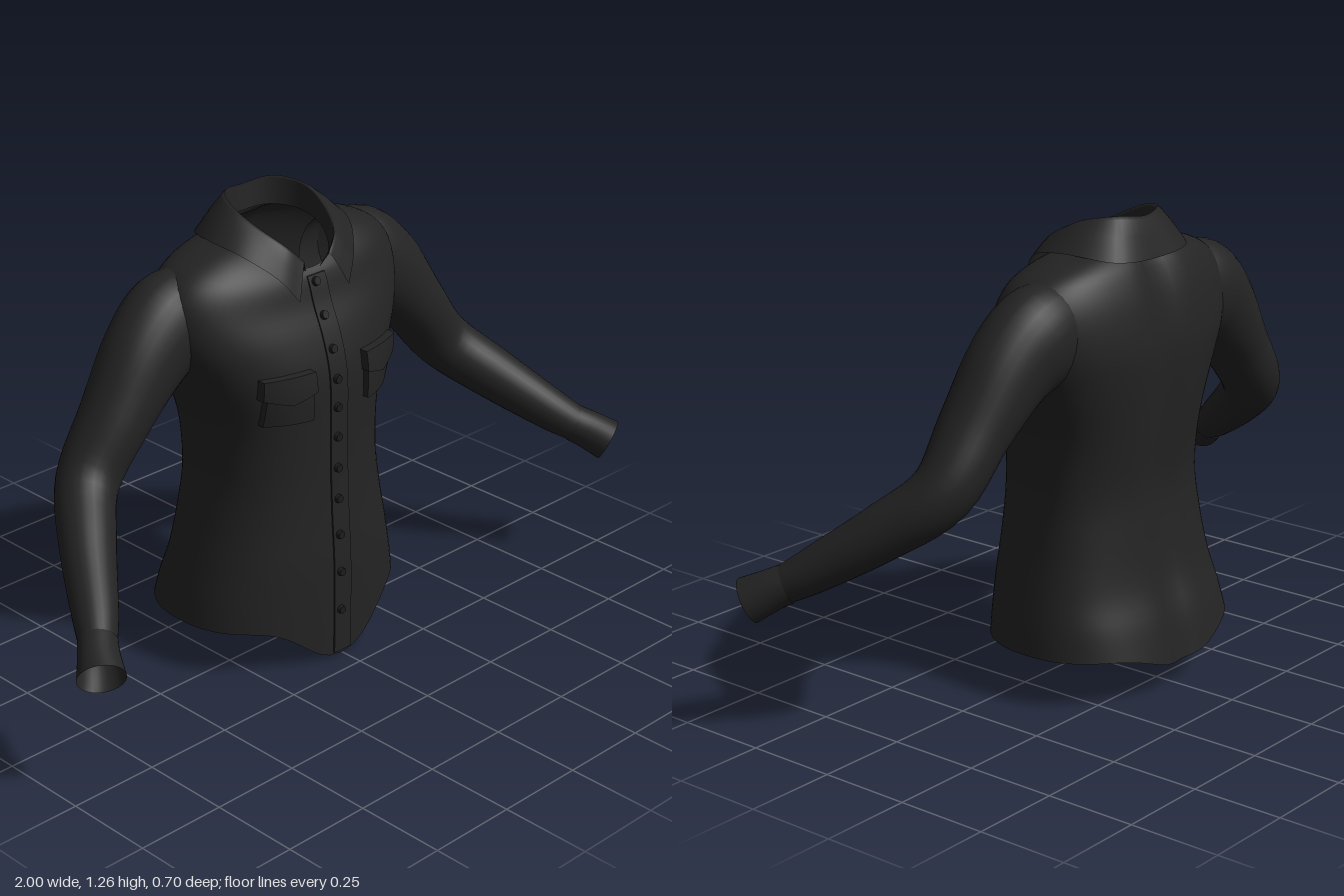
import * as THREE from 'three';

const fabric = new THREE.MeshStandardMaterial({ color: 0x232323, side: THREE.DoubleSide });
const buttonBlack = new THREE.MeshStandardMaterial({ color: 0x1b1b1b });

// Surface through rows of points; closed rows wrap around
function loft(rows, closed) {
  const n = rows[0].length, pos = [], idx = [];
  rows.forEach(r => r.forEach(p => pos.push(p.x, p.y, p.z)));
  for (let i = 0; i < rows.length - 1; i++) {
    for (let j = 0; j < (closed ? n : n - 1); j++) {
      const k = (j + 1) % n, a = i * n + j, b = i * n + k, c = a + n, d = b + n;
      idx.push(a, b, d, a, d, c);
    }
  }
  const g = new THREE.BufferGeometry();
  g.setAttribute('position', new THREE.Float32BufferAttribute(pos, 3));
  g.setIndex(idx);
  g.computeVertexNormals();
  return g;
}

function add(group, name, geometry, material = fabric) {
  const mesh = new THREE.Mesh(geometry, material);
  mesh.name = name;
  group.add(mesh);
  return mesh;
}

// Smooth interpolation of a table of number rows, t in 0..rows-1
function sample(table, t) {
  const i = Math.min(Math.floor(t), table.length - 2), f = t - i;
  const at = k => table[Math.max(0, Math.min(table.length - 1, k))];
  return table[i].map((b, k) => {
    const c = at(i + 1)[k], m0 = (c - at(i - 1)[k]) / 2, m1 = (at(i + 2)[k] - b) / 2;
    const f2 = f * f, f3 = f2 * f;
    return (2 * f3 - 3 * f2 + 1) * b + (f3 - 2 * f2 + f) * m0 + (3 * f2 - 2 * f3) * c + (f3 - f2) * m1;
  });
}

function smoothRings(table, steps) {
  const out = [];
  for (let i = 0; i <= (table.length - 1) * steps; i++) out.push(sample(table, i / steps));
  return out;
}

// Body rings: front y, side y, back y, half width, front z, back z, sharpness of the y dip
const BODY = smoothRings([
  [0.005, 0.135, 0.08, 0.35, 0.18, -0.352, 12],
  [0.17, 0.21, 0.19, 0.338, 0.18, -0.328, 6],
  [0.30, 0.30, 0.30, 0.318, 0.178, -0.292, 2],
  [0.42, 0.42, 0.42, 0.292, 0.17, -0.272, 2],
  [0.55, 0.55, 0.55, 0.275, 0.164, -0.26, 2],
  [0.70, 0.70, 0.70, 0.284, 0.162, -0.275, 2],
  [0.83, 0.84, 0.84, 0.338, 0.158, -0.288, 2],
  [0.93, 0.95, 0.94, 0.385, 0.132, -0.29, 2],
  [1.01, 1.05, 1.05, 0.39, 0.098, -0.272, 2],
  [1.06, 1.12, 1.13, 0.345, 0.082, -0.243, 2],
  [1.085, 1.163, 1.17, 0.25, 0.072, -0.215, 2],
  [1.10, 1.185, 1.19, 0.145, 0.06, -0.19, 2],
], 4);
const ZC = -0.09, POW = 0.85;
const spow = (v, p) => Math.sign(v) * Math.pow(Math.abs(v), p);

function bodyRing([yF, yS, yB, w, zF, zB, sharp]) {
  const pts = [], n = 72;
  for (let j = 0; j < n; j++) {
    const a = (j / n) * Math.PI * 2, c = Math.cos(a), s = Math.sin(a);
    const x = w * spow(s, POW), k = Math.pow(Math.abs(c), sharp);
    let z = ZC + (c > 0 ? zF - ZC : ZC - zB) * spow(c, POW);
    // shallow groove along the spine
    if (c < 0) z += 0.018 * Math.exp(-((x / 0.05) ** 2));
    pts.push(new THREE.Vector3(x, yS + ((c > 0 ? yF : yB) - yS) * k, z));
  }
  return pts;
}

// Depth of the body's front at (x, y)
function frontZ(x, y) {
  let i = 0;
  while (i < BODY.length - 2 && BODY[i + 1][0] < y) i++;
  const a = BODY[i], b = BODY[i + 1];
  const f = THREE.MathUtils.clamp((y - a[0]) / (b[0] - a[0]), 0, 1);
  const w = a[3] + (b[3] - a[3]) * f, zF = a[4] + (b[4] - a[4]) * f;
  const s = Math.min(1, Math.pow(Math.abs(x) / w, 1 / POW));
  return ZC + (zF - ZC) * Math.pow(Math.sqrt(1 - s * s), POW);
}

// Panel bent over the front; point lowers the middle of the bottom edge
function panel(x, y, w, h, d, point = 0) {
  const g = new THREE.BoxGeometry(w, h, d, 8, Math.ceil(h / 0.02), 1), p = g.attributes.position;
  for (let i = 0; i < p.count; i++) {
    const u = p.getX(i) / (w / 2), v = 0.5 - p.getY(i) / h;
    const px = x + p.getX(i), py = y + p.getY(i) - point * v * (1 - Math.abs(u));
    p.setXYZ(i, px, py, frontZ(px, py) + p.getZ(i));
  }
  g.computeVertexNormals();
  return g;
}

// Sleeve stations: centre x, y, z, depth radius, height radius
const SLEEVE = smoothRings([
  [0.22, 1.03, -0.12, 0.09, 0.10],
  [0.33, 0.995, -0.118, 0.112, 0.138],
  [0.43, 0.93, -0.107, 0.107, 0.124],
  [0.545, 0.80, -0.095, 0.096, 0.094],
  [0.655, 0.66, -0.08, 0.082, 0.083],
  [0.75, 0.56, 0.028, 0.072, 0.075],
  [0.85, 0.457, 0.17, 0.058, 0.06],
  [0.898, 0.413, 0.236, 0.046, 0.05],
], 5);
const CUFF = smoothRings([
  [0.892, 0.418, 0.228, 0.05, 0.053],
  [0.915, 0.402, 0.258, 0.052, 0.055],
  [0.95, 0.372, 0.308, 0.062, 0.06],
], 3);

function tube(stations, side) {
  const centre = s => new THREE.Vector3(s[0], s[1], s[2]), n = 28;
  return loft(stations.map((s, i) => {
    const t = centre(stations[Math.min(i + 1, stations.length - 1)])
      .sub(centre(stations[Math.max(i - 1, 0)])).normalize();
    const a = new THREE.Vector3(0, 0, 1).addScaledVector(t, -t.z).normalize();
    const b = new THREE.Vector3().crossVectors(t, a);
    return Array.from({ length: n }, (_, j) => {
      const q = (j / n) * Math.PI * 2;
      const p = centre(s).addScaledVector(a, Math.cos(q) * s[3]).addScaledVector(b, Math.sin(q) * s[4]);
      p.x *= side;
      return p;
    });
  }), true);
}

// Whole collar line from its left half, front to back centre
function collarLine(half) {
  const left = half.map(p => new THREE.Vector3(...p));
  const right = left.slice(0, -1).reverse().map(p => new THREE.Vector3(-p.x, p.y, p.z));
  return new THREE.CatmullRomCurve3([...left, ...right]).getPoints(60);
}

export function createModel() {
  const shirt = new THREE.Group();
  shirt.name = 'shirt';

  add(shirt, 'body', loft(BODY.map(bodyRing), true));

  // Sleeves, cuffs and chest pockets
  for (const side of [1, -1]) {
    const word = side > 0 ? 'left' : 'right';
    add(shirt, word + 'Sleeve', tube(SLEEVE, side));
    add(shirt, word + 'Cuff', tube(CUFF, side));
    add(shirt, word + 'Pocket', panel(side * 0.162, 0.79, 0.125, 0.115, 0.035));
    add(shirt, word + 'PocketFlap', panel(side * 0.165, 0.84, 0.145, 0.055, 0.05, 0.022));
  }

  // Folded collar: stand, fold and fall
  const base = collarLine([[0.02, 1.085, 0.058], [0.09, 1.11, 0.03], [0.13, 1.155, -0.04],
    [0.125, 1.18, -0.12], [0.07, 1.19, -0.18], [0, 1.19, -0.19]]);
  const fold = collarLine([[0.045, 1.13, 0.078], [0.085, 1.175, 0.055], [0.12, 1.22, -0.02],
    [0.128, 1.255, -0.1], [0.085, 1.268, -0.175], [0, 1.26, -0.2]]);
  const fall = collarLine([[0.088, 1.04, 0.108], [0.135, 1.105, 0.078], [0.195, 1.165, 0],
    [0.21, 1.182, -0.1], [0.15, 1.165, -0.222], [0, 1.155, -0.24]]);
  const mix = (a, b, t, lift) => a.map((p, i) => {
    const q = p.clone().lerp(b[i], t);
    q.y += lift;
    return q;
  });
  add(shirt, 'collar', loft([base, mix(base, fold, 0.5, 0), mix(base, fold, 0.9, 0), fold,
    mix(fold, fall, 0.12, 0.004), mix(fold, fall, 0.5, 0.006), fall], false));

  // Button strip down the front
  add(shirt, 'placket', panel(0, 0.55, 0.062, 1.07, 0.008));
  for (const y of [1.07, 0.985, 0.9, 0.82, 0.74, 0.655, 0.565, 0.475, 0.37, 0.26, 0.145]) {
    const g = new THREE.CylinderGeometry(0.011, 0.013, 0.014, 14);
    g.rotateX(Math.PI / 2);
    const button = add(shirt, 'button', g, buttonBlack);
    button.position.set(-0.01, y, frontZ(0.01, y) + 0.007);
    button.rotation.x = Math.atan2(frontZ(0, y + 0.02) - frontZ(0, y - 0.02), 0.04);
  }
  return shirt;
}
